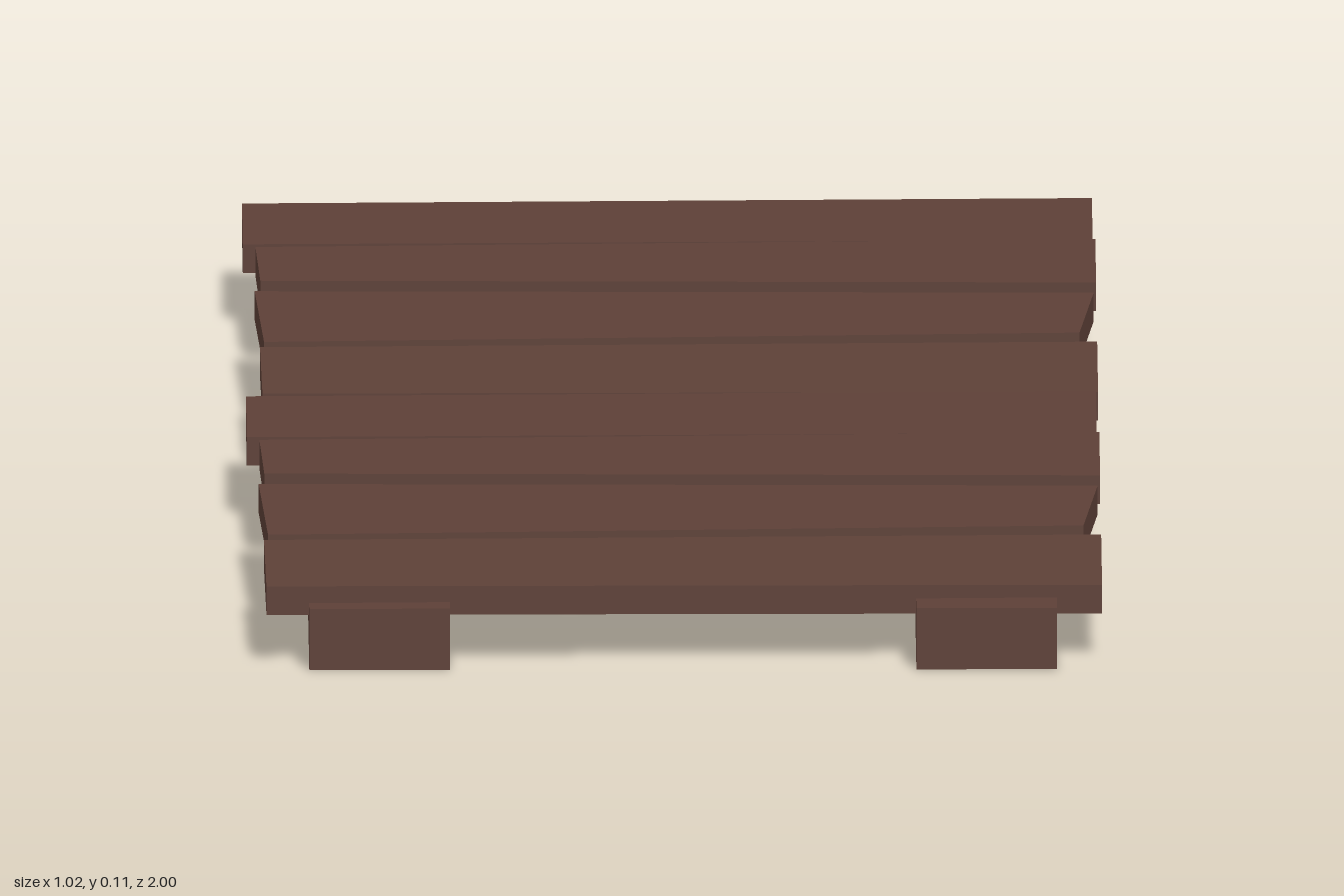
import * as THREE from 'three';

const wood = new THREE.MeshStandardMaterial({ color: 0x5d4037, flatShading: true });
wood.name = 'dark brown wood';

// Top-face corners [x, y, z] of four uneven planks: back left, back right, front right, front left
const PLANKS = [
  [[-0.51, 0.104, -0.98], [0.505, 0.106, -0.995], [0.505, 0.106, -0.778], [-0.51, 0.104, -0.768]],
  [[-0.495, 0.105, -0.75], [0.508, 0.11, -0.765], [0.508, 0.11, -0.54], [-0.49, 0.105, -0.575]],
  [[-0.497, 0.104, -0.525], [0.505, 0.103, -0.517], [0.487, 0.103, -0.31], [-0.487, 0.104, -0.262]],
  [[-0.492, 0.104, -0.235], [0.508, 0.099, -0.28], [0.508, 0.09, -0.057], [-0.49, 0.096, -0.028]],
];
const THICKNESS = 0.035;

// Box whose corners are moved onto the four given top corners
function plankGeometry(corners) {
  const geo = new THREE.BoxGeometry(1, 1, 1);
  const pos = geo.attributes.position;
  for (let i = 0; i < pos.count; i++) {
    const right = pos.getX(i) > 0, top = pos.getY(i) > 0, front = pos.getZ(i) > 0;
    const [x, y, z] = corners[front ? (right ? 2 : 3) : (right ? 1 : 0)];
    pos.setXYZ(i, x, top ? y : y - THICKNESS, z);
  }
  geo.computeVertexNormals();
  return geo;
}

export function createModel() {
  const model = new THREE.Group();
  model.name = 'plankWalkway';

  // Two long bearers lying on the ground
  for (const [name, x] of [['rightBeam', -0.355], ['leftBeam', 0.37]]) {
    const beam = new THREE.Mesh(new THREE.BoxGeometry(0.168, 0.075, 2), wood);
    beam.name = name;
    beam.position.set(x, 0.0375, 0);
    model.add(beam);
  }

  // The set of four planks, laid twice along the length
  for (let set = 0; set < 2; set++) {
    PLANKS.forEach((corners, i) => {
      const plank = new THREE.Mesh(plankGeometry(corners), wood);
      plank.name = `plank${set * 4 + i + 1}`;
      plank.position.z = set;
      model.add(plank);
    });
  }
  return model;
}
